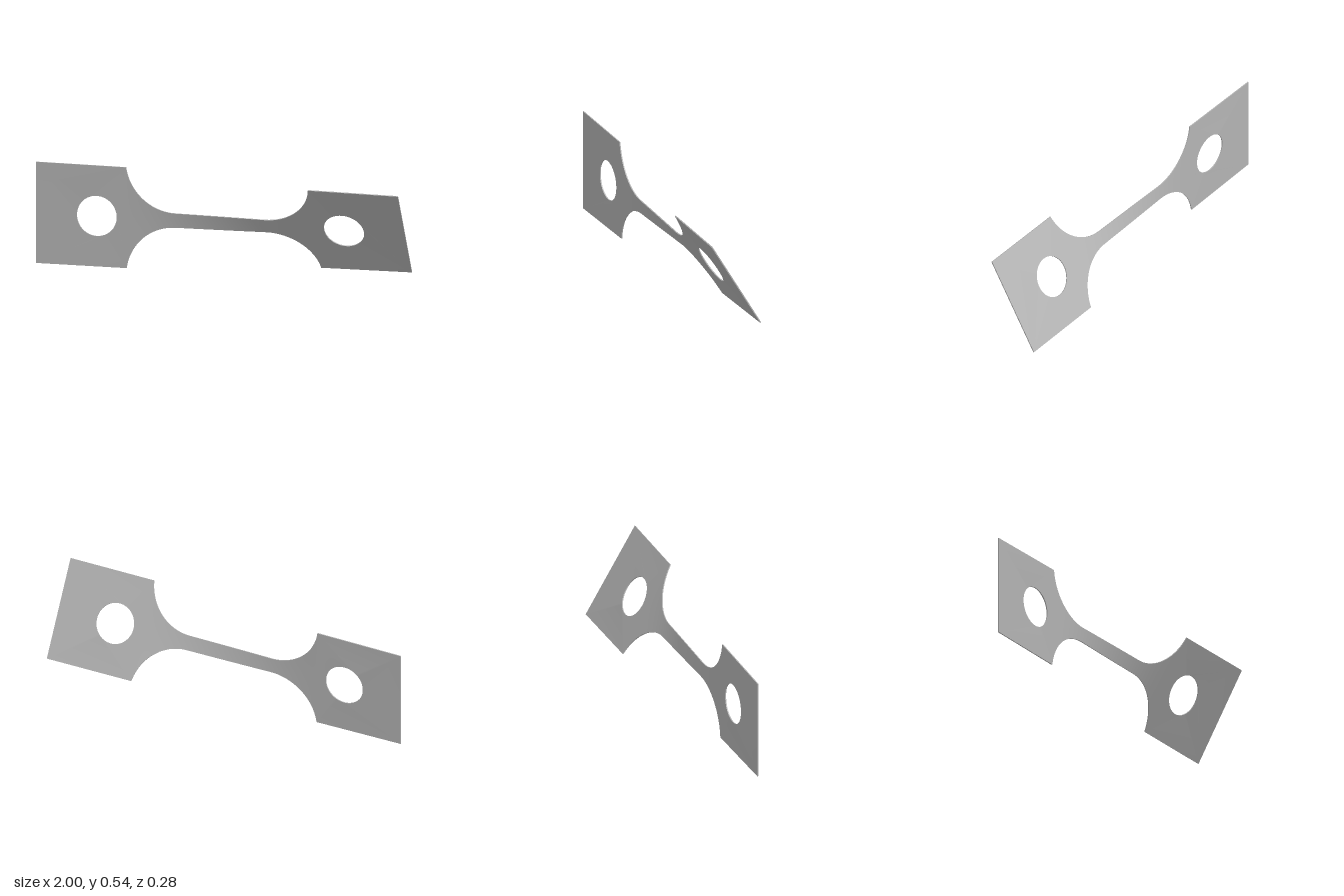
import * as THREE from 'three';
import { toCreasedNormals } from 'three/addons/utils/BufferGeometryUtils.js';

const T = 0.006;          // plate thickness
const H = 0.271;          // half height of the end tabs
const NECK = 0.039;       // half height of the narrow middle
const R = 0.27;           // shoulder radius
const X_TAB = 0.51;       // where the tabs begin
const X_NECK = X_TAB - Math.sqrt(R * R - (NECK + R - H) ** 2);

// Half height of the waist at x
function halfHeight(x) {
  const d = Math.max(0, Math.abs(x) - X_NECK);
  return NECK + R - Math.sqrt(Math.max(0, R * R - d * d));
}

// Twist angle at x: steep in the neck, easing off in the shoulders, nearly flat in the tabs
function twistAngle(x) {
  const a = Math.abs(x);
  let deg;
  if (a < X_NECK) deg = 8.8 * a / X_NECK;
  else if (a < X_TAB) deg = 8.8 + 5.5 * (1 - (1 - (a - X_NECK) / (X_TAB - X_NECK)) ** 1.75);
  else deg = 14.3 + 1.15 * (a - X_TAB) / (1 - X_TAB);
  return THREE.MathUtils.degToRad(15.45 + Math.sign(x) * deg);
}

// Turn every vertex about the long axis
function twist(geometry) {
  const p = geometry.attributes.position;
  for (let i = 0; i < p.count; i++) {
    const y = p.getY(i), z = p.getZ(i), a = twistAngle(p.getX(i));
    p.setY(i, y * Math.cos(a) - z * Math.sin(a));
    p.setZ(i, y * Math.sin(a) + z * Math.cos(a));
  }
  geometry.computeVertexNormals();
  return geometry;
}

export function createModel() {
  const group = new THREE.Group();
  group.name = 'twistedTestStrip';
  const steel = new THREE.MeshStandardMaterial({ name: 'steelGrey', color: 0xb3b3b3 });

  function add(name, geometry) {
    const mesh = new THREE.Mesh(geometry, steel);
    mesh.name = name;
    mesh.position.y = H;
    group.add(mesh);
  }

  // Narrow neck with rounded shoulders
  const waist = new THREE.BoxGeometry(2 * X_TAB, 2, T, 120, 6, 1);
  const p = waist.attributes.position;
  for (let i = 0; i < p.count; i++) {
    // Crowd the columns towards the tabs, where the outline is steepest
    const x = X_TAB * Math.sin(p.getX(i) / X_TAB * Math.PI / 2);
    p.setX(i, x);
    p.setY(i, p.getY(i) * halfHeight(x));
  }
  add('neckAndShoulders', twist(waist));

  // Square end tabs, each with a round hole
  for (const [name, side] of [['rightTab', -1], ['leftTab', 1]]) {
    const x0 = side < 0 ? -1 : X_TAB;
    const x1 = side < 0 ? -X_TAB : 1;
    const shape = new THREE.Shape([
      new THREE.Vector2(x0, -H), new THREE.Vector2(x1, -H),
      new THREE.Vector2(x1, H), new THREE.Vector2(x0, H),
    ]);
    const hole = new THREE.Path();
    hole.absarc(side * 0.67, 0, 0.108, 0, Math.PI * 2, true);
    shape.holes.push(hole);
    const tab = new THREE.ExtrudeGeometry(shape, { depth: T, bevelEnabled: false, curveSegments: 32 });
    tab.translate(0, 0, -T / 2);
    add(name, toCreasedNormals(twist(tab), 0.5));
  }
  return group;
}
